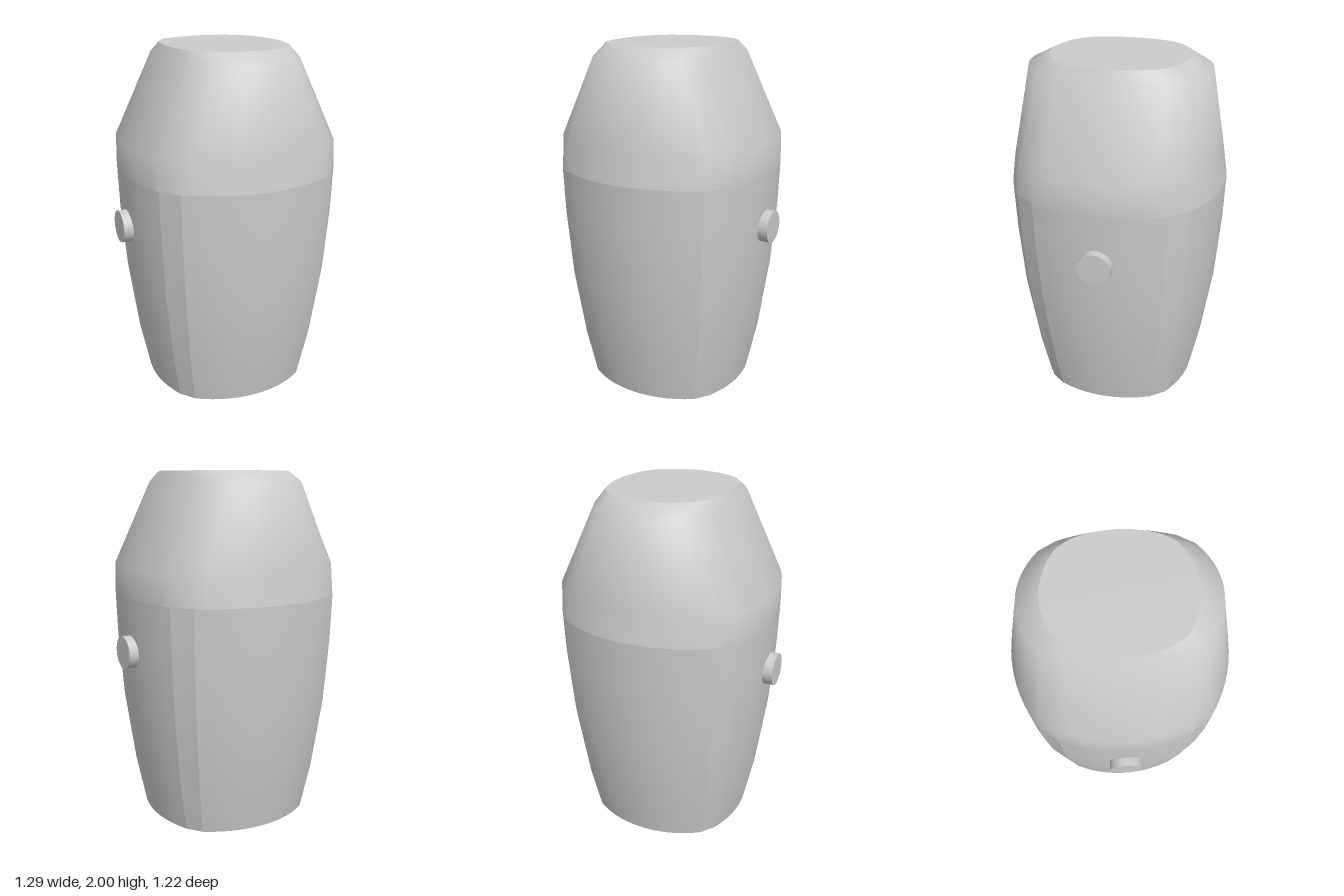
import * as THREE from 'three';
import { toCreasedNormals } from 'three/addons/utils/BufferGeometryUtils.js';

const material = new THREE.MeshStandardMaterial({ color: 0xcccccc });

// Unit cross-section: four shallow arcs joined by chamfered corners, as [x, z].
function unitSection(steps = 14) {
  const arc = (half, sagitta) => {
    const r = (half * half + sagitta * sagitta) / (2 * sagitta);
    const a = Math.asin(half / r);
    return Array.from({ length: steps + 1 }, (_, i) => {
      const t = -a + (2 * a * i) / steps;
      return [1 - r + r * Math.cos(t), r * Math.sin(t)];
    });
  };
  const side = arc(0.595, 0.125);
  const front = arc(0.74, 0.23);
  return [
    ...side,
    ...front.map(([d, t]) => [-t, d]),
    ...side.map(([d, t]) => [-d, -t]),
    ...front.map(([d, t]) => [t, -d]),
  ];
}

// Skins rows of [y, half width, half depth]; a zero width closes the end.
function loft(rows, crease) {
  const section = unitSection();
  const n = section.length;
  const positions = [];
  const point = ([y, sx, sz], j) => [section[j % n][0] * sx, y, section[j % n][1] * sz];
  for (let i = 0; i < rows.length - 1; i++) {
    const low = rows[i], high = rows[i + 1];
    for (let j = 0; j < n; j++) {
      const a = point(low, j), b = point(low, j + 1);
      const c = point(high, j), d = point(high, j + 1);
      if (low[1] > 0) positions.push(...a, ...c, ...b);
      if (high[1] > 0) positions.push(...b, ...c, ...d);
    }
  }
  const geometry = new THREE.BufferGeometry();
  geometry.setAttribute('position', new THREE.Float32BufferAttribute(positions, 3));
  return toCreasedNormals(geometry, crease);
}

export function createModel() {
  const model = new THREE.Group();
  const add = (name, geometry) => {
    const mesh = new THREE.Mesh(geometry, material);
    mesh.name = name;
    model.add(mesh);
    return mesh;
  };

  // Tapered lower shell, with crisp chamfers and a shallow recess underneath
  add('lowerShell', loft([
    [0.07, 0, 0],
    [0.07, 0.395, 0.395],
    [0, 0.405, 0.405],
    [0, 0.46, 0.46],
    [0.27, 0.515, 0.515],
    [0.68, 0.57, 0.575],
    [1.05, 0.597, 0.602],
    [1.31, 0.605, 0.61],
  ], 0.15));

  // Upper shell: sides lean in strongly, front and back only slightly
  add('upperShell', loft([
    [1.31, 0.605, 0.61],
    [1.48, 0.605, 0.582],
    [1.94, 0.366, 0.505],
    [2, 0.335, 0.385],
  ], 1.05));

  // Flat top
  add('topCap', loft([[2, 0.335, 0.385], [2, 0, 0]], 0.1));

  // Round side pivots
  for (const s of [1, -1]) {
    const pivot = add(s > 0 ? 'leftPivot' : 'rightPivot', new THREE.CylinderGeometry(0.092, 0.092, 0.1, 40));
    pivot.rotation.z = Math.PI / 2;
    pivot.position.set(s * 0.595, 1.01, 0);
  }
  return model;
}
